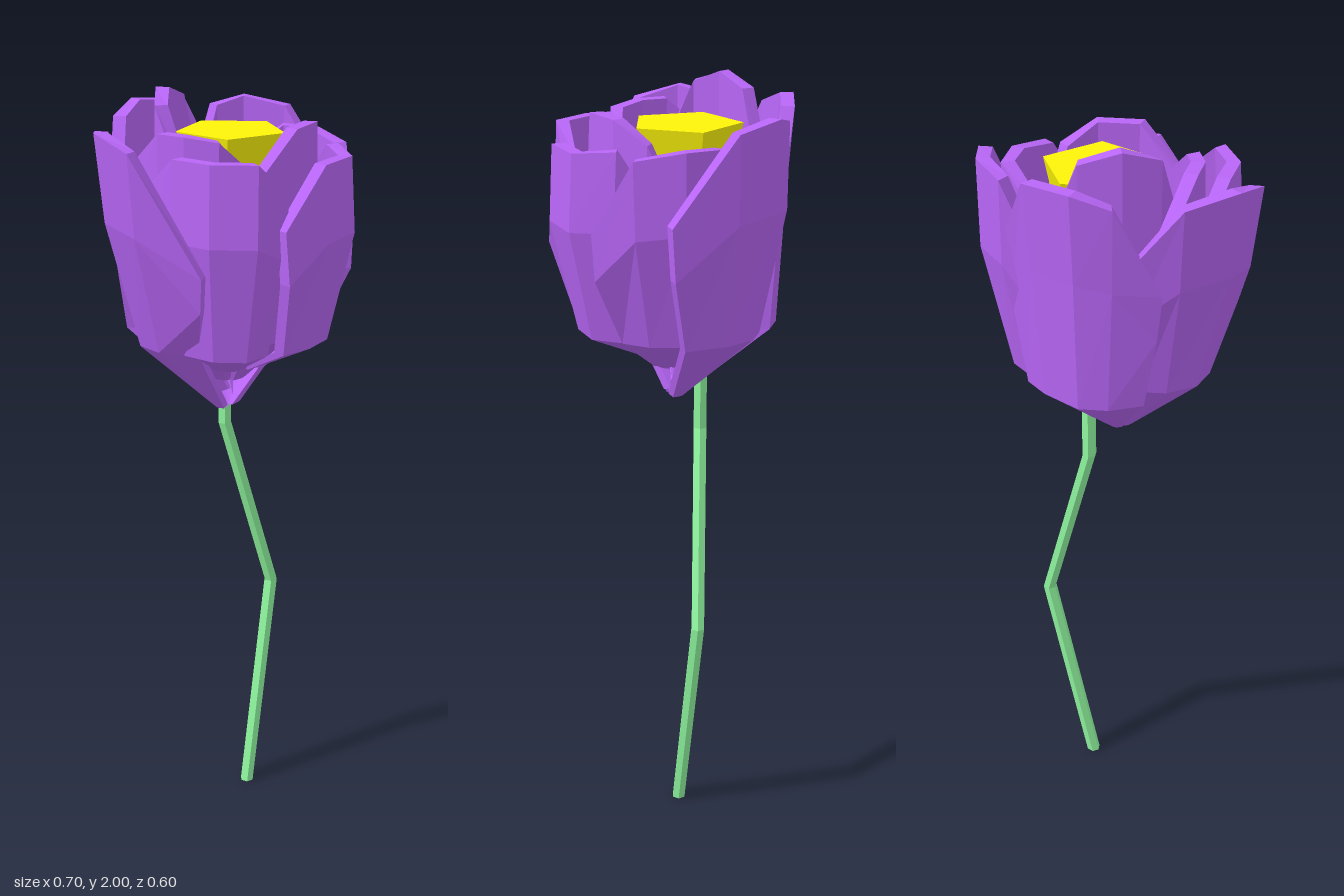
import * as THREE from 'three';

const purple = new THREE.MeshStandardMaterial({ color: 0xb866f6, flatShading: true });
const green = new THREE.MeshStandardMaterial({ color: 0x90f8a0, flatShading: true });
const yellow = new THREE.MeshStandardMaterial({ color: 0xfcf408, flatShading: true });

// Skin a row of equal-sized closed rings and cap both ends.
function loft(rings) {
  const pos = [];
  const quad = (a, b, c, d) => pos.push(...a, ...b, ...c, ...a, ...c, ...d);
  const n = rings[0].length;
  for (let j = 0; j < rings.length - 1; j++) {
    for (let i = 0; i < n; i++) {
      const k = (i + 1) % n;
      quad(rings[j][i], rings[j + 1][i], rings[j + 1][k], rings[j][k]);
    }
  }
  const first = rings[0], last = rings[rings.length - 1];
  for (let i = 0; i < n / 2 - 1; i++) {
    quad(first[i], first[i + 1], first[n - 2 - i], first[n - 1 - i]);
    quad(last[n - 1 - i], last[n - 2 - i], last[i + 1], last[i]);
  }
  const geo = new THREE.BufferGeometry();
  geo.setAttribute('position', new THREE.Float32BufferAttribute(pos, 3));
  geo.computeVertexNormals();
  return geo;
}

// Petal from its rim, given as [x, z, top height] per column.
// base: height of the foot; spread: distance from the axis of foot, shoulder and belly.
const SHOULDER = 1.4, THICK = 0.034;
function petalGeometry({ base, spread, rim }) {
  const mid = rim[Math.floor(rim.length / 2)];
  const rings = rim.map(([x, z, top], j) => {
    const a = rim[Math.max(j - 1, 0)], b = rim[Math.min(j + 1, rim.length - 1)];
    const len = Math.hypot(b[0] - a[0], b[1] - a[1]);
    const nx = -(b[1] - a[1]) / len, nz = (b[0] - a[0]) / len;
    const rows = [
      [base, spread[0], 0.8],
      [SHOULDER, spread[1], 0.84],
      [SHOULDER + 0.6 * (top - SHOULDER), spread[2], 0.97],
      [top, 1, 1],
    ];
    const outer = rows.map(([y, s, w]) => [s * (mid[0] + w * (x - mid[0])), y, s * (mid[1] + w * (z - mid[1]))]);
    const inner = outer.map(([px, py, pz]) => [px - nx * THICK, py, pz - nz * THICK]);
    return [...outer, ...inner.reverse()];
  });
  return loft(rings);
}

// Overlapping petals, each running left, front, right, back around the flower
const PETALS = {
  leftPetal: { base: 1.2, spread: [0.1, 0.7, 0.94],
    rim: [[-0.2, -0.2, 1.78], [-0.29, -0.14, 1.91], [-0.355, -0.02, 1.93], [-0.335, 0.1, 1.9], [-0.22, 0.23, 1.62]] },
  backLeftPetal: { base: 1.2, spread: [0.12, 0.9, 0.95],
    rim: [[0.13, -0.27, 1.76], [0.04, -0.295, 1.94], [-0.1, -0.3, 1.95], [-0.18, -0.25, 1.92], [-0.25, -0.16, 1.7]] },
  backRightPetal: { base: 1.2, spread: [0.12, 0.8, 1],
    rim: [[0.35, -0.01, 1.72], [0.29, -0.16, 1.92], [0.21, -0.255, 1.94], [0.12, -0.28, 1.92], [0.03, -0.25, 1.72]] },
  rightPetal: { base: 1.3, spread: [0.3, 0.78, 1],
    rim: [[0.25, 0.18, 1.68], [0.295, 0.08, 1.86], [0.295, -0.04, 1.88], [0.25, -0.13, 1.88], [0.12, -0.165, 1.8]] },
  frontRightPetal: { base: 1.32, spread: [0.3, 0.84, 1.04],
    rim: [[-0.03, 0.295, 1.72], [0.09, 0.28, 1.86], [0.205, 0.225, 1.86], [0.24, 0.12, 1.87], [0.21, 0.02, 1.72]] },
  frontLeftPetal: { base: 1.32, spread: [0.3, 0.86, 1.04],
    rim: [[-0.25, -0.02, 1.76], [-0.23, 0.12, 1.88], [-0.19, 0.22, 1.88], [-0.1, 0.285, 1.88], [0, 0.26, 1.8]] },
  innerFrontPetal: { base: 1.28, spread: [0.2, 0.8, 1.02],
    rim: [[-0.11, 0.21, 1.76], [0.07, 0.19, 1.93], [0.17, 0.13, 1.93], [0.22, 0.05, 1.88], [0.22, -0.03, 1.72]] },
  innerLeftPetal: { base: 1.28, spread: [0.2, 0.8, 1.02],
    rim: [[-0.23, -0.12, 1.8], [-0.21, 0.02, 1.92], [-0.18, 0.09, 1.92], [-0.12, 0.15, 1.91], [-0.04, 0.155, 1.84]] },
  innerBackPetal: { base: 1.24, spread: [0.2, 0.8, 1.02],
    rim: [[0.02, -0.235, 1.8], [-0.04, -0.2, 1.97], [-0.12, -0.14, 2], [-0.17, -0.06, 1.97], [-0.15, 0.03, 1.8]] },
};

// Crooked stem: x, y, z of each bend
const STEM = [[0.08, 0, -0.025], [0.19, 0.61, -0.075], [0.037, 1.12, -0.077], [0.037, 1.37, -0.077]];

export function createModel() {
  const model = new THREE.Group();
  const add = (parent, name, geometry, material) => {
    const mesh = new THREE.Mesh(geometry, material);
    mesh.name = name;
    parent.add(mesh);
    return mesh;
  };

  add(model, 'stem', loft(STEM.map(([x, y, z]) =>
    Array.from({ length: 6 }, (_, i) => {
      const a = (i * Math.PI) / 3;
      return [x + 0.019 * Math.cos(a), y, z + 0.019 * Math.sin(a)];
    }))), green);

  // Flower head
  const flower = new THREE.Group();
  flower.name = 'flower';
  model.add(flower);
  for (const [name, petal] of Object.entries(PETALS)) add(flower, name, petalGeometry(petal), purple);

  // Five-sided heart, widening to a flat top
  const heart = add(flower, 'heart', new THREE.CylinderGeometry(0.14, 0.03, 0.5, 5), yellow);
  heart.rotation.y = Math.PI;
  heart.position.set(0.03, 1.65, -0.035);
  return model;
}
